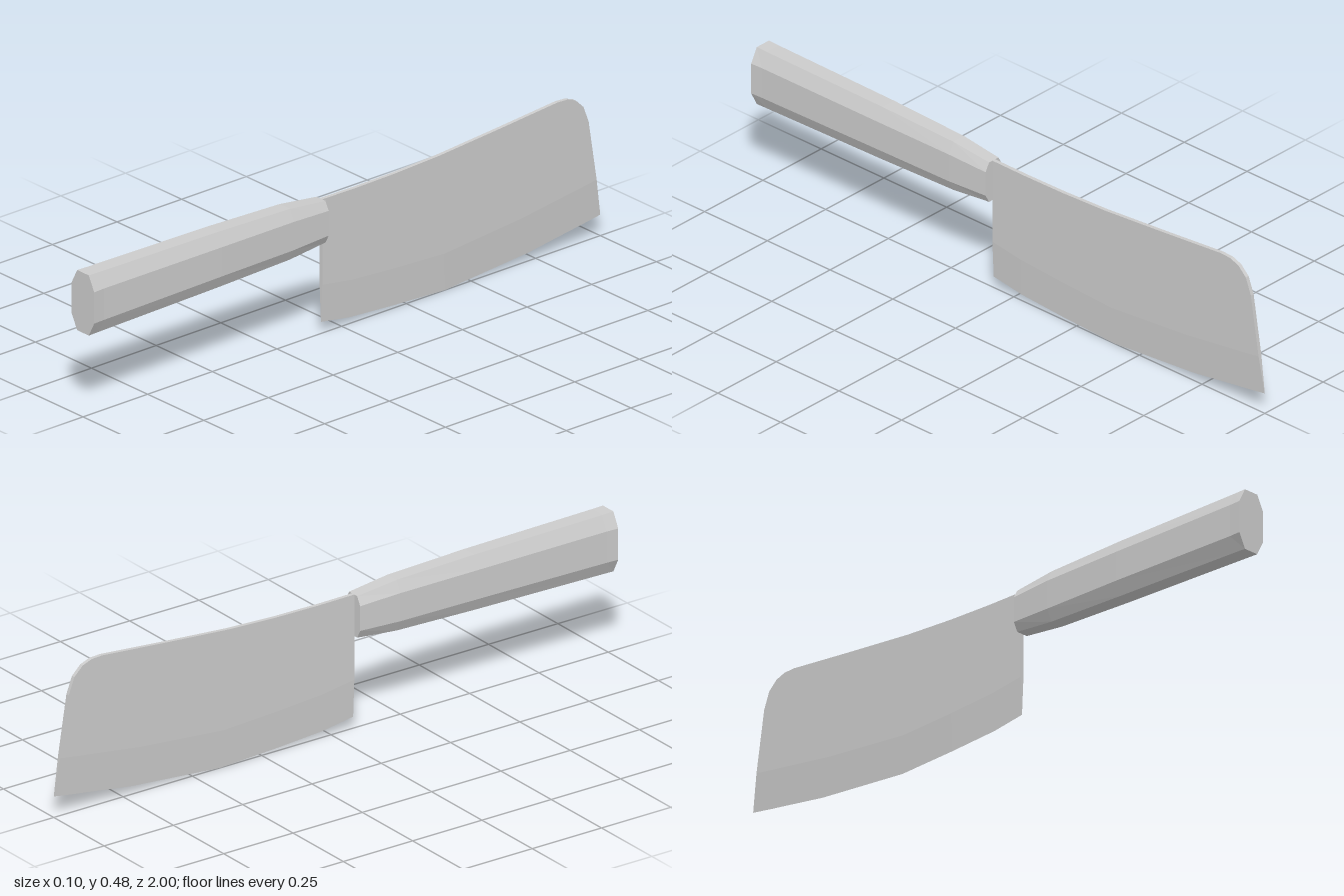
import * as THREE from 'three';

// Skin a list of matching cross-section loops (counter-clockwise seen from +z, running towards -z).
function loft(rings) {
  const n = rings[0].length, last = (rings.length - 1) * n, index = [];
  for (let r = 0; r < rings.length - 1; r++) {
    for (let k = 0; k < n; k++) {
      const a = r * n + k, b = r * n + (k + 1) % n;
      index.push(a, a + n, b, b, a + n, b + n);
    }
  }
  for (let k = 1; k < n - 1; k++) {
    index.push(0, k, k + 1, last, last + k + 1, last + k);
  }
  const indexed = new THREE.BufferGeometry();
  indexed.setAttribute('position', new THREE.Float32BufferAttribute(rings.flat(2), 3));
  indexed.setIndex(index);
  const geometry = indexed.toNonIndexed();
  geometry.computeVertexNormals();
  return geometry;
}

// Blade section: sharp edge, bevel shoulder, flat cheeks and squared spine.
function bladeRing([topZ, topY, edgeZ, edgeY]) {
  const half = 0.006, t = 0.12 / (topY - edgeY);
  const z = THREE.MathUtils.lerp(edgeZ, topZ, t), y = edgeY + 0.12;
  return [[0, edgeY, edgeZ], [half, y, z], [half, topY, topZ], [-half, topY, topZ], [-half, y, z]];
}

// Handle section: tall octagon with chamfered corners.
function handleRing([z, bottom, top, half, flat, chamfer]) {
  const right = [[flat, bottom, z], [half, bottom + chamfer, z], [half, top - chamfer, z], [flat, top, z]];
  const left = right.map(([x, y]) => [-x, y, z]).reverse();
  return [...right, ...left];
}

export function createModel() {
  const group = new THREE.Group();
  group.name = 'cleaver';
  const material = new THREE.MeshStandardMaterial({ color: 0xcccccc, flatShading: true });

  function add(name, rings) {
    const mesh = new THREE.Mesh(loft(rings), material);
    mesh.name = name;
    group.add(mesh);
  }

  // Blade: spine z, spine y, edge z, edge y, from heel to rounded tip
  add('blade', [
    [0.08, 0.43, 0.08, 0.037],
    [-0.05, 0.429, -0.03, 0.02],
    [-0.2, 0.431, -0.2, 0.009],
    [-0.37, 0.438, -0.4, 0],
    [-0.61, 0.457, -0.72, 0.026],
    [-0.83, 0.476, -0.9, 0.052],
    [-0.868, 0.474, -0.93, 0.056],
    [-0.9, 0.462, -0.955, 0.06],
    [-0.93, 0.433, -0.975, 0.063],
    [-0.95, 0.38, -1, 0.067],
  ].map(bladeRing));

  // Handle: z, bottom, top, half width, half width of the flat, chamfer height
  add('handle', [
    [1, 0.268, 0.46, 0.05, 0.026, 0.046],
    [0.96, 0.269, 0.459, 0.048, 0.026, 0.045],
    [0.5, 0.277, 0.454, 0.045, 0.025, 0.042],
    [0.22, 0.284, 0.446, 0.041, 0.023, 0.036],
    [0.08, 0.297, 0.43, 0.035, 0.02, 0.027],
  ].map(handleRing));

  return group;
}
